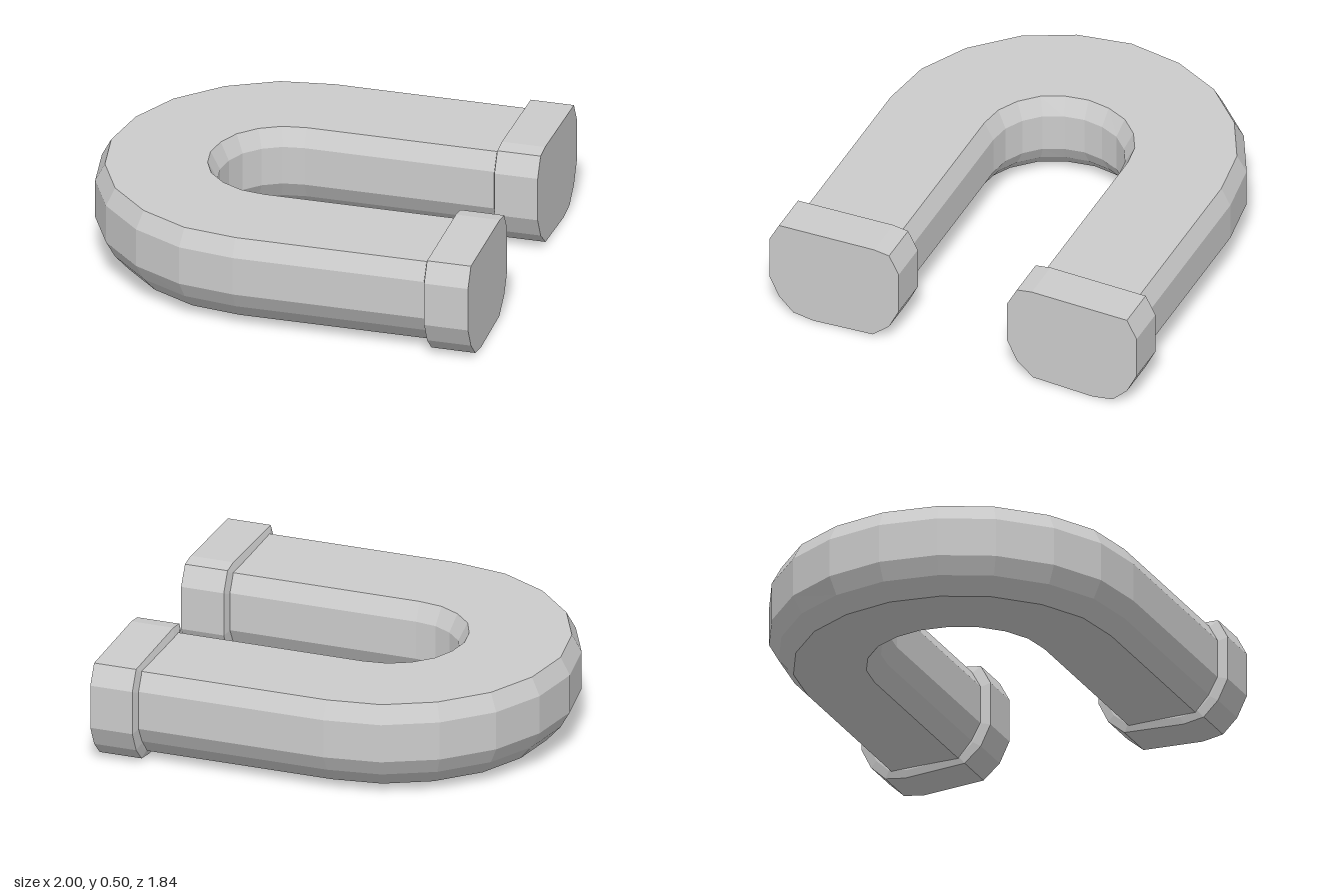
import * as THREE from 'three';

// Cross-sections as [u, y]: u = 0 on the inner wall of the bend, 1 on the outer wall (counterclockwise)
const TUBE = [[0, 0.2], [0.08, 0.12], [0.2, 0.045], [0.8, 0.045], [0.92, 0.12], [1, 0.2],
  [1, 0.385], [0.92, 0.468], [0.08, 0.468], [0, 0.385]];
const CAP = [[0, 0.19], [0.075, 0.09], [0.2, 0.02], [0.66, 0.004], [0.815, 0.02], [0.925, 0.09], [1, 0.19],
  [1, 0.4], [0.925, 0.493], [0.19, 0.504], [0.075, 0.493], [0, 0.4]];

// Place a section between an inner and an outer [x, z] point
function ring(section, inner, outer) {
  return section.map(([u, y]) => new THREE.Vector3(
    THREE.MathUtils.lerp(inner[0], outer[0], u), y, THREE.MathUtils.lerp(inner[1], outer[1], u)));
}

// Skin consecutive rings, with optional flat end faces
function loft(name, rings, closeStart, closeEnd) {
  const pos = [];
  const tri = (...pts) => pts.forEach((p) => pos.push(p.x, p.y, p.z));
  const n = rings[0].length;
  for (let i = 0; i < rings.length - 1; i++) {
    for (let j = 0; j < n; j++) {
      const k = (j + 1) % n;
      const [a, b, c, d] = [rings[i][j], rings[i][k], rings[i + 1][k], rings[i + 1][j]];
      tri(a, b, c);
      tri(a, c, d);
    }
  }
  const first = rings[0];
  const last = rings[rings.length - 1];
  for (let j = 1; j < n - 1; j++) {
    if (closeStart) tri(first[0], first[j + 1], first[j]);
    if (closeEnd) tri(last[0], last[j], last[j + 1]);
  }
  const geometry = new THREE.BufferGeometry();
  geometry.setAttribute('position', new THREE.Float32BufferAttribute(pos, 3));
  geometry.computeVertexNormals();
  const mesh = new THREE.Mesh(geometry, new THREE.MeshStandardMaterial({ color: 0xcccccc, flatShading: true }));
  mesh.name = name;
  return mesh;
}

export function createModel() {
  const group = new THREE.Group();
  group.name = 'horseshoeMagnet';

  // Curved body: half of the U as [inner, outer] stations, then mirrored in z
  const half = [
    [[0.785, 0.315], [0.785, 0.875]],
    [[-0.13, 0.315], [-0.13, 0.875]],
    [[-0.23, 0.3], [-0.395, 0.835]],
    [[-0.315, 0.255], [-0.635, 0.71]],
    [[-0.385, 0.185], [-0.835, 0.51]],
    [[-0.425, 0.095], [-0.955, 0.27]],
  ];
  const mirrored = half.map((s) => s.map(([x, z]) => [x, -z])).reverse();
  const stations = [...half, [[-0.44, 0], [-1, 0]], ...mirrored];
  group.add(loft('curvedBody', stations.map(([a, b]) => ring(TUBE, a, b)), true, true));

  // Pole caps: a wider sleeve with a small sloped collar on each leg
  for (const [name, side, start, end] of [['frontPoleCap', 1, 0.787, 1], ['backPoleCap', -1, 0.78, 0.99]]) {
    const at = (x, inset) => ring(CAP, [x, side * (0.27 + inset)], [x, side * (0.92 - inset)]);
    const collar = at(start - 0.008, 0.04);
    collar.forEach((p) => { p.y = 0.255 + (p.y - 0.255) * 0.87; });
    const rings = [collar, at(start + 0.005, 0), at(end, 0)];
    group.add(loft(name, side > 0 ? rings.reverse() : rings, true, true));
  }
  return group;
}
